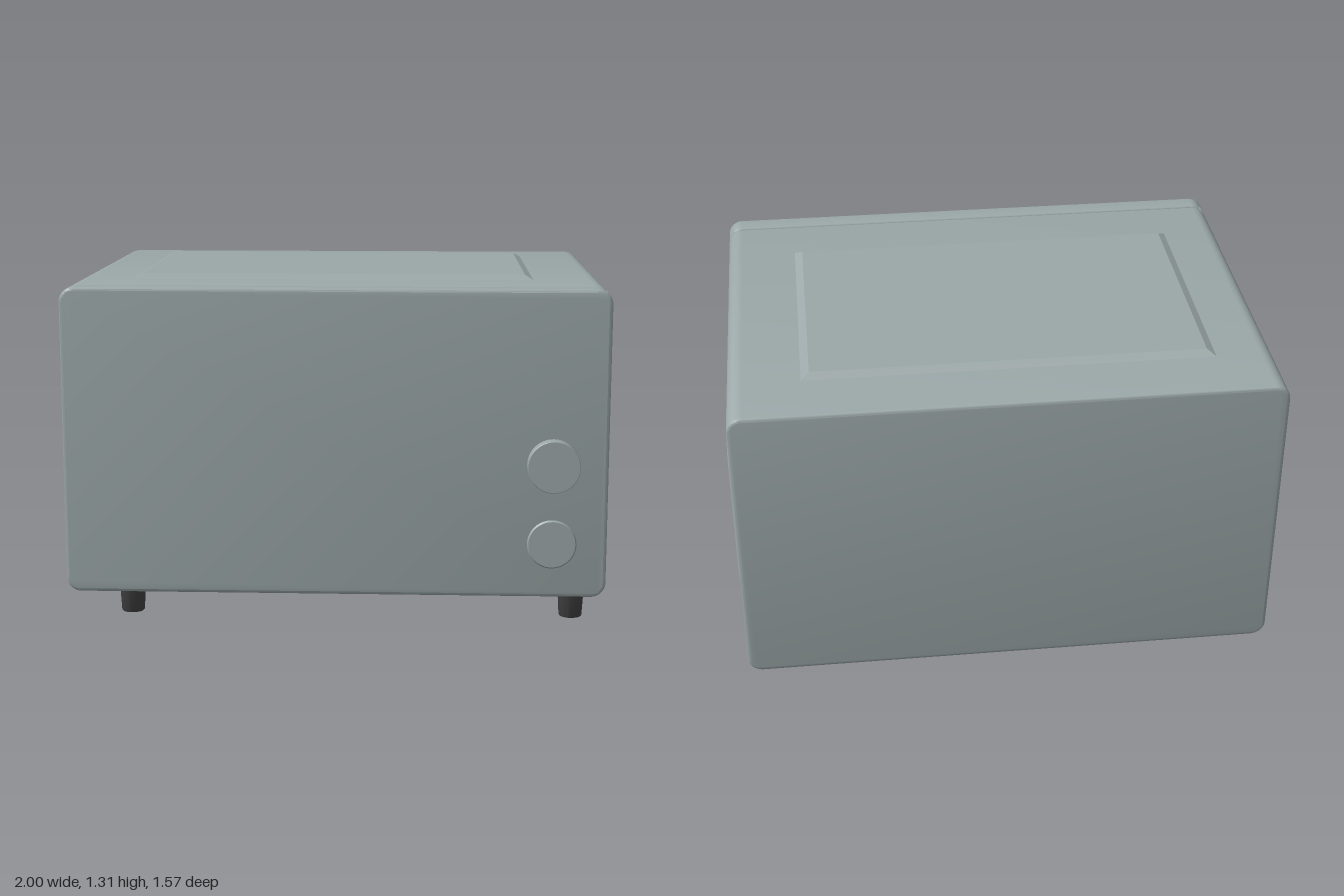
import * as THREE from 'three';
import { toCreasedNormals } from 'three/addons/utils/BufferGeometryUtils.js';

const enamel = new THREE.MeshStandardMaterial({ color: 0x9ba7a8 });
enamel.name = 'grey green enamel';
const rubber = new THREE.MeshStandardMaterial({ color: 0x444444 });
rubber.name = 'dark rubber';

function roundedRect(w, h, r) {
  const s = new THREE.Shape();
  const x = w / 2, y = h / 2;
  if (r === 0) {
    s.moveTo(-x, -y).lineTo(x, -y).lineTo(x, y).lineTo(-x, y);
  } else {
    s.absarc(x - r, -y + r, r, -Math.PI / 2, 0);
    s.absarc(x - r, y - r, r, 0, Math.PI / 2);
    s.absarc(-x + r, y - r, r, Math.PI / 2, Math.PI);
    s.absarc(-x + r, -y + r, r, Math.PI, Math.PI * 1.5);
  }
  s.closePath();
  return s;
}

// Slab running from z0 to z1 with bevelled ends; w and h are its full size
function slab(w, h, r, z0, z1, bevelSize, bevelThickness, bevelSegments, crease) {
  const geo = new THREE.ExtrudeGeometry(roundedRect(w, h, r), {
    depth: z1 - z0 - 2 * bevelThickness, curveSegments: 8,
    bevelEnabled: true, bevelSize, bevelThickness, bevelSegments, bevelOffset: -bevelSize,
  });
  geo.translate(0, 0, z0 + bevelThickness);
  return toCreasedNormals(geo, crease);
}

export function createModel() {
  const model = new THREE.Group();
  const add = (name, geo, mat, x = 0, y = 0, z = 0) => {
    const mesh = new THREE.Mesh(geo, mat);
    mesh.name = name;
    mesh.position.set(x, y, z);
    model.add(mesh);
    return mesh;
  };
  const cx = -0.0075, cy = 0.725, w = 1.985, h = 1.13;

  // Housing and front panel, with a narrow seam closed by an inset core
  add('housing', slab(w, h, 0.055, -0.783, 0.653, 0.012, 0.012, 3, 0.7), enamel, cx, cy);
  add('frontPanel', slab(w, h, 0.055, 0.656, 0.738, 0.012, 0.012, 3, 0.7), enamel, cx, cy);
  add('seamCore', new THREE.BoxGeometry(w - 0.03, h - 0.03, 0.06), enamel, cx, cy, 0.655);

  // Raised panel on the top
  const top = add('topPanel', slab(1.5, 0.975, 0, -0.025, 0.017, 0.03, 0.017, 1, 0.1),
    enamel, -0.03, 1.29, -0.0625);
  top.rotation.x = -Math.PI / 2;

  // Raised panel with round corners on the left side
  const side = add('sidePanel', slab(1.15, 0.75, 0.14, -0.025, 0.015, 0.037, 0.015, 1, 0.25),
    enamel, 0.985, 0.725, -0.06);
  side.rotation.y = Math.PI / 2;

  // Controls: a tall knob above a flat button
  const disc = (r, depth, chamfer) => {
    const pts = [[0, -0.02], [r, -0.02], [r, depth - chamfer], [r - chamfer, depth], [0, depth]];
    const geo = new THREE.LatheGeometry(pts.map(p => new THREE.Vector2(...p)), 48);
    return toCreasedNormals(geo.rotateX(Math.PI / 2), 0.6);
  };
  add('knob', disc(0.095, 0.05, 0.002), enamel, 0.785, 0.655, 0.738);
  add('button', disc(0.09, 0.009, 0.005), enamel, 0.785, 0.36, 0.738);

  // Four tapered feet
  const footProfile = [[0, 0], [0.041, 0], [0.044, 0.005], [0.054, 0.165], [0, 0.165]];
  const footGeo = toCreasedNormals(
    new THREE.LatheGeometry(footProfile.map(p => new THREE.Vector2(...p)), 24), 0.6);
  for (const x of [-0.805, 0.885])
    for (const z of [0.427, -0.463]) add('foot', footGeo, rubber, x, 0, z);

  return model;
}
